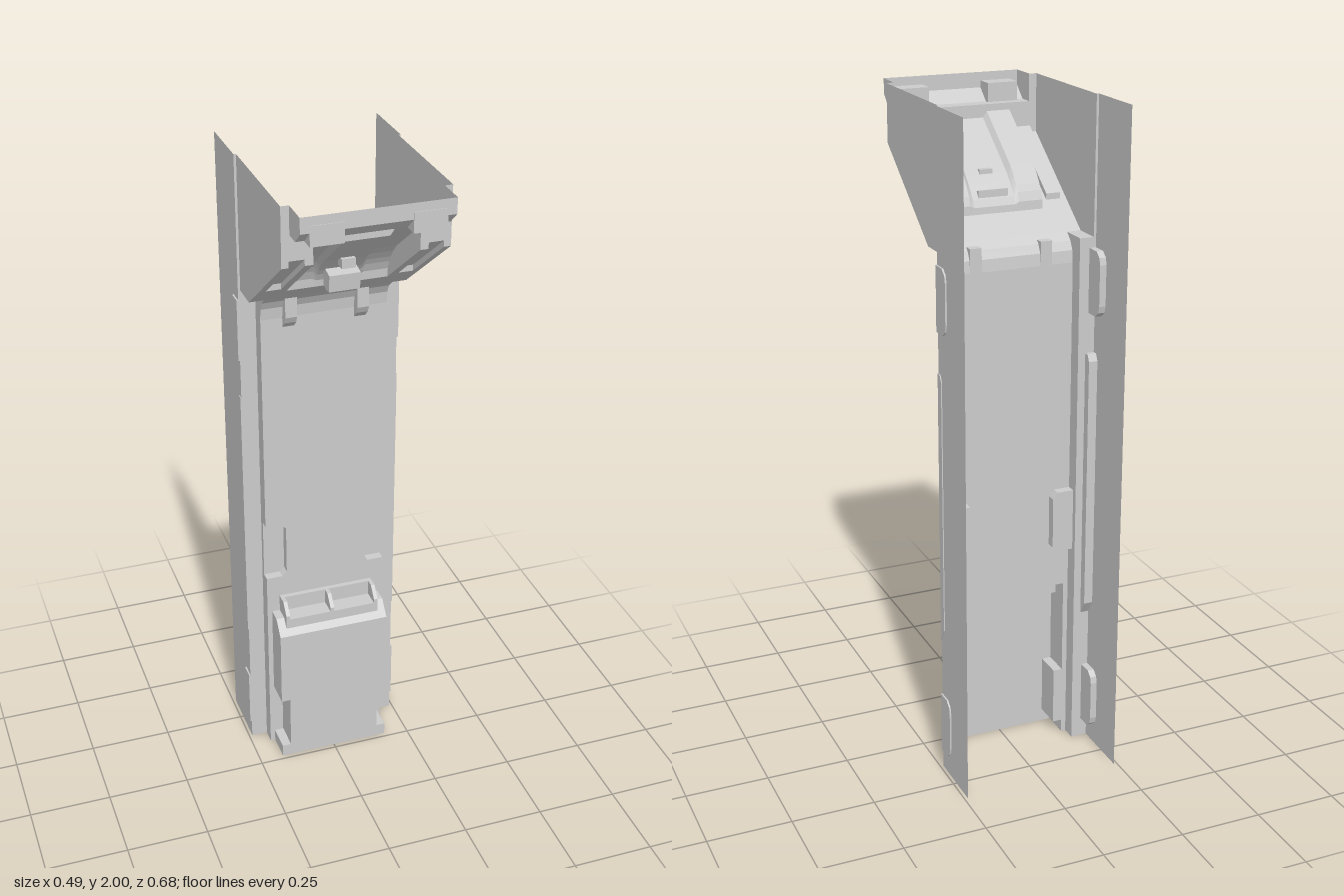
import * as THREE from 'three';

const mat = new THREE.MeshStandardMaterial({ color: 0xcccccc, side: THREE.DoubleSide, flatShading: true });

export function createModel() {
  const group = new THREE.Group();
  const add = (name, geo) => {
    const mesh = new THREE.Mesh(geo, mat);
    mesh.name = name;
    group.add(mesh);
    return mesh;
  };
  const shapeOf = pts => new THREE.Shape(pts.map(p => new THREE.Vector2(p[0], p[1])));

  // Sheet skinned between successive polylines of [x, y, z] points
  const skin = (name, sections) => {
    const pos = [];
    for (let i = 0; i < sections.length - 1; i++) {
      const a = sections[i], b = sections[i + 1];
      for (let j = 0; j < a.length - 1; j++) {
        pos.push(...a[j], ...a[j + 1], ...b[j + 1], ...a[j], ...b[j + 1], ...b[j]);
      }
    }
    const geo = new THREE.BufferGeometry();
    geo.setAttribute('position', new THREE.Float32BufferAttribute(pos, 3));
    geo.computeVertexNormals();
    return add(name, geo);
  };
  // Flat sheet facing front, from [x, y] points
  const frontSheet = (name, pts, z) =>
    add(name, new THREE.ShapeGeometry(shapeOf(pts)).translate(0, 0, z));
  // Flat sheet facing sideways, from [z, y] points
  const sideSheet = (name, pts, x) =>
    add(name, new THREE.ShapeGeometry(shapeOf(pts.map(([z, y]) => [-z, y]))).rotateY(Math.PI / 2).translate(x, 0, 0));
  // Solid with a [z, y] profile running from x0 to x1
  const solid = (name, pts, x0, x1) => {
    const geo = new THREE.ExtrudeGeometry(shapeOf(pts.map(([z, y]) => [-z, y])), { depth: x1 - x0, bevelEnabled: false });
    return add(name, geo.rotateY(Math.PI / 2).translate(x0, 0, 0));
  };
  const solidPair = (name, pts, x0, x1) => {
    solid(name, pts, x0, x1);
    solid(name, pts, -x1, -x0);
  };
  // Ribbon along an [x, y] path between two depths
  const ribbon = (name, pts, z0, z1) =>
    skin(name, [z0, z1].map(z => pts.map(([x, y]) => [x, y, z])));
  const rect = (a0, b0, a1, b1) => [[a0, b0], [a1, b0], [a1, b1], [a0, b1]];

  const ZB = -0.34, ZF = -0.145, ZP = -0.1, XW = 0.24, XH = 0.233, XI = 0.19;
  const slope = z => 1.6 + (z + 0.06) * 0.23 / 0.313;

  // Main panel with an opening behind the lower cover and a notch for each grip pocket
  const half = [[0.175, 0], [XI, 0], [XI, 0.64], [0.14, 0.64], [0.125, 0.655], [0.125, 0.81],
    [0.14, 0.83], [XI, 0.83], [XI, 1.52]];
  const mirrorPts = pts => pts.map(([x, y]) => [-x, y]).reverse();
  frontSheet('mainPanel', [[0.175, 0.515], ...half, ...mirrorPts(half), [-0.175, 0.515]], ZP);

  // Curved blend from the panel to the hood
  skin('panelBend', [[1.52, ZP], [1.555, -0.096], [1.58, -0.083], [1.6, -0.06]]
    .map(([y, z]) => [[-XI, y, z], [XI, y, z]]));

  for (const s of [-1, 1]) {
    // Outer wall, step and inner wall
    sideSheet('sideWall', rect(ZB, 0, ZF, 2), s * XW);
    frontSheet('sideFlange', rect(s * XI, 0, s * XW, 1.6), ZF);
    frontSheet('wallStep', rect(s * XH, 1.6, s * XW, 2), ZF);
    sideSheet('innerWall', [[ZF, 0], [ZP, 0], [ZP, 0.64], [-0.128, 0.64], [-0.128, 0.83], [ZP, 0.83],
      [ZP, 1.52], [-0.096, 1.555], [-0.083, 1.58], [-0.06, 1.6], [ZF, 1.6]], s * XI);
    skin('columnTop', [ZF, -0.06].map(z => [[s * XI, 1.6, z], [s * XH, 1.6, z]]));

    // Grip pocket
    const grip = half.slice(2, 8).map(([x, y]) => [s * x, y]);
    frontSheet('gripPocketBack', grip, -0.128);
    ribbon('gripPocketRim', grip, -0.128, ZP);

    // Hood side
    sideSheet('hoodSide', [[ZF, 1.6], [-0.06, 1.6], [0.253, 1.83], [0.253, 2], [ZF, 2]], s * XH);
  }

  // Side catches and long side rails
  for (const [y0, y1] of [[0.06, 0.25], [1.38, 1.57]]) {
    solidPair('sideCatch', [[ZF, y0], [-0.19, y0], [-0.208, y0 + 0.015], [-0.213, y0 + 0.035],
      [-0.213, y1 - 0.035], [-0.208, y1 - 0.015], [-0.19, y1], [ZF, y1]], 0.22, 0.245);
  }
  solidPair('sideRail', [[ZF, 0.43], [-0.17, 0.47], [-0.17, 1.24], [-0.16, 1.26], [ZF, 1.26]], 0.213, 0.243);

  // Hooks below the hood
  solidPair('panelHook', [[ZP, 1.49], [-0.08, 1.51], [-0.07, 1.53], [-0.07, 1.59], [ZP, 1.59]], 0.09, 0.125);

  // Hood underside: [x, side channel rise, centre pocket rise] across half the width
  const ribs = [[XH, 0, 0], [0.213, 0, 0], [0.213, 0.018, 0], [0.17, 0.018, 0], [0.17, 0, 0],
    [0.147, 0, 0], [0.147, 0, 0.07], [0.075, 0, 0.07], [0.063, 0, 0.052]];
  const across = [...ribs, ...ribs.map(([x, a, b]) => [-x, a, b]).reverse()];
  const stations = [[-0.06, 0, 0], [0.015, 0, 0], [0.017, 0, 0.35], [0.028, 0, 0.6], [0.04, 0, 0.75],
    [0.04, 1, 0.75], [0.058, 1, 0.9], [0.08, 1, 1], [0.253, 1, 1]];
  const sections = stations.map(([z, side, mid]) =>
    across.map(([x, a, b]) => [x, slope(z) + a * side + b * mid, z]));
  skin('hoodUnderside', sections);

  // Hood front face, cut along the underside profile
  const edge = sections[sections.length - 1];
  skin('hoodFront', [edge, edge.map(([x]) => [x, 1.92, 0.253])]);
  for (const s of [-1, 1]) frontSheet('hoodFrontCorner', rect(s * 0.21, 1.92, s * XH, 2), 0.253);

  // Tray lip at the top of the hood with two blocks
  const tray = [[0.253, 1.92], [0.3, 1.92], [0.34, 1.955], [0.34, 2]];
  skin('trayLip', tray.map(([z, y]) => [[-0.21, y, z], [0.21, y, z]]));
  for (const s of [-1, 1]) sideSheet('trayEnd', [...tray, [0.253, 2]], s * 0.21);
  solidPair('trayBlock', rect(0.285, 1.918, 0.342, 1.975), 0.092, 0.185);

  // Latch tabs in the centre pocket
  solid('latchTab', [[0.03, 1.668], [0.05, 1.658], [0.075, 1.66], [0.08, 1.71], [0.03, 1.72]], -0.045, 0.045);
  solid('latchTip', rect(0.08, 1.74, 0.11, 1.768), -0.02, 0.02);

  // Lower cover: front sheet with side notches, rim and sloping top
  const ZC = -0.015;
  const coverHalf = [[0.175, 0], [0.175, 0.04], [0.147, 0.04], [0.147, 0.22], [0.175, 0.22], [0.175, 0.47]];
  frontSheet('coverFront', [...coverHalf, ...mirrorPts(coverHalf)], ZC);
  const coverTop = [[ZC, 0.47], [-0.055, 0.515], [ZP, 0.515]];
  skin('coverTop', coverTop.map(([z, y]) => [[-0.175, y, z], [0.175, y, z]]));
  for (const s of [-1, 1]) {
    ribbon('coverSide', coverHalf.map(([x, y]) => [s * x, y]), ZP, ZC);
    sideSheet('coverCheek', [...coverTop, [ZP, 0.47]], s * 0.175);
    frontSheet('coverNotchBack', rect(s * 0.147, 0.04, s * 0.175, 0.22), ZP);
  }

  // Ledge above the cover with two open pockets
  const ledge = [[ZP, 0.49], [-0.03, 0.49], [-0.03, 0.535], [-0.06, 0.57], [ZP, 0.57]];
  for (const x of [-0.15, -0.006, 0.138]) solid('ledgeRib', ledge, x, x + 0.012);
  solid('ledgeBase', rect(ZP, 0.49, -0.03, 0.522), -0.15, 0.15);
  solid('ledgeBack', rect(ZP, 0.49, -0.085, 0.57), -0.15, 0.15);

  return group;
}
